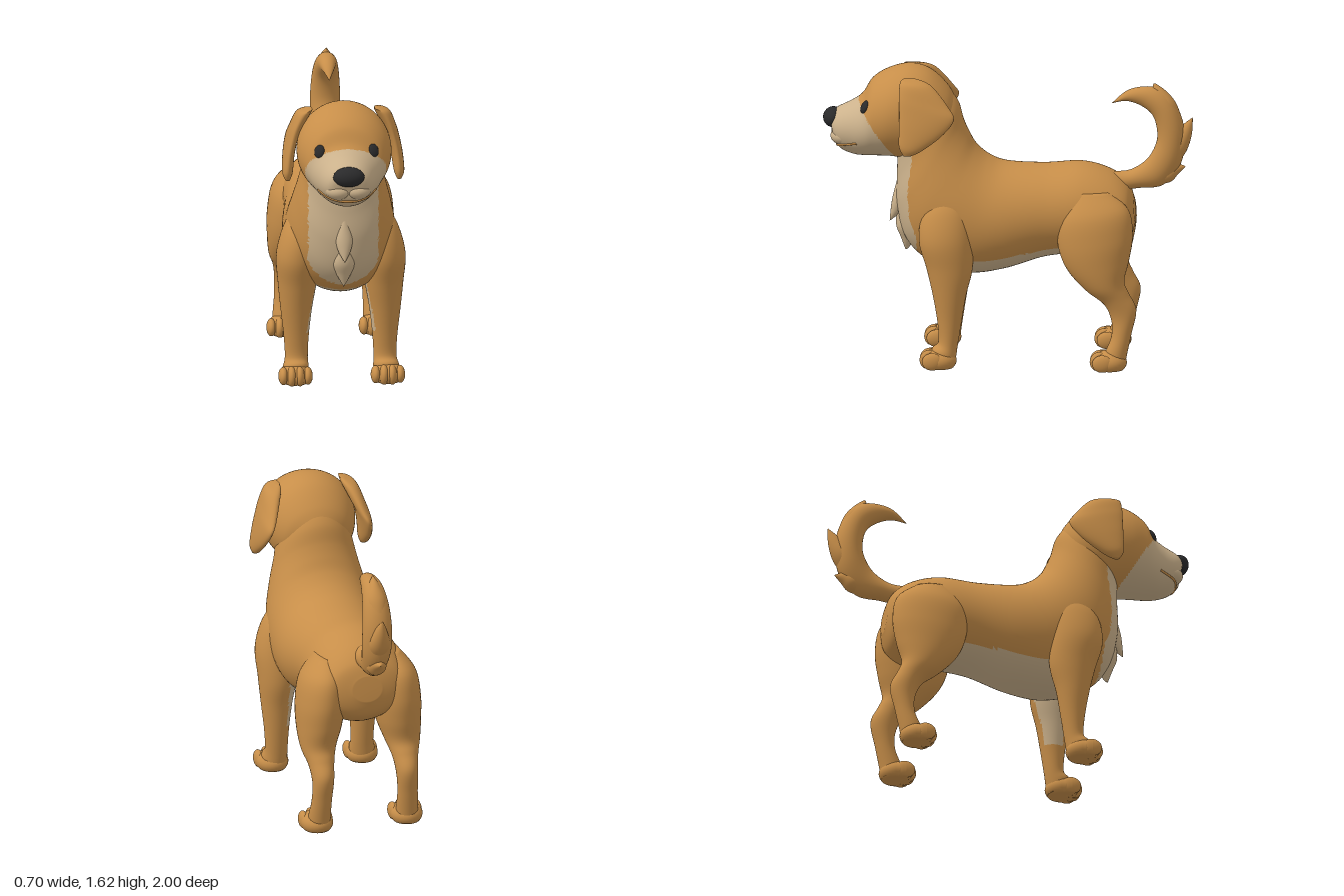
import * as THREE from 'three';

const coat = new THREE.MeshStandardMaterial({ color: 0xc78e49 });
coat.name = 'goldenCoat';
const cream = new THREE.MeshStandardMaterial({ color: 0xccb28c });
cream.name = 'creamFur';
const dark = new THREE.MeshStandardMaterial({ color: 0x2a2a2b });
dark.name = 'darkNose';

// Catmull-Rom interpolation of one column of a section table
function sample(rows, t, k) {
  const n = rows.length - 1, i = Math.min(Math.floor(t), n - 1), f = t - i;
  const v = (j) => rows[Math.max(0, Math.min(n, j))][k] ?? 0;
  const a = v(i - 1), b = v(i), c = v(i + 1), d = v(i + 2);
  return b + 0.5 * f * (c - a + f * (2 * a - 5 * b + 4 * c - d + f * (3 * (b - c) + d - a)));
}

// Smooth elliptical loft. Row: [z1, y1, z2, y2, halfWidth, centreX], where
// (z1, y1) and (z2, y2) are opposite edges of the section in the side plane.
function loft(name, rows, { side = 1, radial = 32, steps = 6, material = coat, isCream = null } = {}) {
  const pos = [], tris = [], rings = (rows.length - 1) * steps;
  for (let r = 0; r <= rings; r++) {
    const [z1, y1, z2, y2, w, cx] = [0, 1, 2, 3, 4, 5].map((k) => sample(rows, r / steps, k));
    for (let j = 0; j < radial; j++) {
      const a = (j / radial) * Math.PI * 2, s = Math.sin(a) / 2;
      pos.push(side * cx + Math.max(w, 0.002) * Math.cos(a), (y1 + y2) / 2 + (y1 - y2) * s, (z1 + z2) / 2 + (z1 - z2) * s);
      if (r < rings) {
        const p = r * radial + j, q = r * radial + ((j + 1) % radial);
        tris.push([p, q, q + radial], [p, q + radial, p + radial]);
      }
    }
  }
  // end caps
  for (const r of [0, rings]) {
    const row = rows[r ? rows.length - 1 : 0], c = pos.length / 3;
    pos.push(side * (row[5] ?? 0), (row[1] + row[3]) / 2, (row[0] + row[2]) / 2);
    for (let j = 0; j < radial; j++) {
      const p = r * radial + j, q = r * radial + ((j + 1) % radial);
      tris.push(r ? [p, q, c] : [q, p, c]);
    }
  }
  // make the surface face outward
  const P = (i) => new THREE.Vector3().fromArray(pos, i * 3);
  let volume = 0;
  for (const [a, b, c] of tris) volume += P(a).dot(P(b).cross(P(c)));
  if (volume < 0) tris.forEach((t) => t.reverse());
  // split coat and cream faces by a position rule
  const split = [[], []];
  for (const t of tris) {
    const m = P(t[0]).add(P(t[1])).add(P(t[2])).divideScalar(3);
    split[isCream && isCream(m.x, m.y, m.z) ? 1 : 0].push(...t);
  }
  const g = new THREE.BufferGeometry();
  g.setAttribute('position', new THREE.Float32BufferAttribute(pos, 3));
  g.setIndex([...split[0], ...split[1]]);
  g.computeVertexNormals();
  if (isCream) {
    g.addGroup(0, split[0].length, 0);
    g.addGroup(split[0].length, split[1].length, 1);
  }
  const mesh = new THREE.Mesh(g, isCream ? [coat, cream] : material);
  mesh.name = name;
  return mesh;
}

// Ellipsoid, flattened where it meets the ground
function blob(name, material, [x, y, z], [rx, ry, rz]) {
  const g = new THREE.SphereGeometry(1, 28, 20).scale(rx, ry, rz).translate(x, y, z);
  const p = g.attributes.position;
  for (let i = 0; i < p.count; i++) p.setY(i, Math.max(0, p.getY(i)));
  g.computeVertexNormals();
  const mesh = new THREE.Mesh(g, material);
  mesh.name = name;
  return mesh;
}

function paw(name, x, z) {
  const group = new THREE.Group();
  group.name = name;
  group.add(blob('pad', coat, [x, 0.04, z], [0.088, 0.065, 0.095]));
  for (let i = 0; i < 4; i++) {
    const o = i - 1.5, inner = Math.abs(o) < 1;
    group.add(blob('toe', coat, [x + o * 0.044, 0.045, z + (inner ? 0.05 : 0.035)], [0.027, inner ? 0.056 : 0.048, 0.055]));
  }
  return group;
}

export function createModel() {
  const dog = new THREE.Group();
  dog.name = 'dog';

  // Body from rump to neck, with a pale bib and belly
  dog.add(loft('body', [
    [-0.68, 0.90, -0.69, 0.76, 0.08],
    [-0.645, 0.98, -0.65, 0.66, 0.20],
    [-0.55, 1.05, -0.53, 0.59, 0.25],
    [-0.40, 1.09, -0.38, 0.59, 0.265],
    [-0.20, 1.078, -0.20, 0.57, 0.27],
    [0.00, 1.085, 0.02, 0.50, 0.295],
    [0.10, 1.12, 0.22, 0.475, 0.30],
    [0.17, 1.18, 0.42, 0.535, 0.295],
    [0.21, 1.25, 0.55, 0.66, 0.275],
    [0.24, 1.32, 0.60, 0.85, 0.245],
    [0.27, 1.42, 0.60, 1.02, 0.215],
    [0.34, 1.50, 0.60, 1.12, 0.20],
    [0.45, 1.55, 0.62, 1.20, 0.17],
  ], {
    radial: 80, steps: 9,
    isCream: (x, y, z) => (z > 0.49 && Math.abs(x) < 0.19 && y < 1.2) || (z > -0.34 && y < 0.61 - 0.17 * z),
  }));

  // Tufts on the chest
  dog.add(loft('upperChestTuft', [[0.60, 0.98, 0.55, 0.98, 0.02], [0.625, 0.88, 0.55, 0.88, 0.045], [0.635, 0.81, 0.57, 0.81, 0.035], [0.64, 0.75, 0.63, 0.755, 0.002]], { material: cream }));
  dog.add(loft('lowerChestTuft', [[0.60, 0.82, 0.52, 0.82, 0.03], [0.605, 0.73, 0.5, 0.73, 0.06], [0.58, 0.66, 0.5, 0.66, 0.04], [0.555, 0.59, 0.54, 0.595, 0.002]], { material: cream }));

  // Head and muzzle
  const head = loft('head', [
    [0.27, 1.40, 0.30, 1.25, 0.08],
    [0.32, 1.50, 0.36, 1.16, 0.18],
    [0.42, 1.595, 0.45, 1.11, 0.235],
    [0.53, 1.625, 0.55, 1.11, 0.255],
    [0.64, 1.60, 0.64, 1.12, 0.25],
    [0.73, 1.545, 0.72, 1.12, 0.218],
    [0.785, 1.46, 0.77, 1.12, 0.188],
    [0.84, 1.42, 0.83, 1.125, 0.158],
    [0.92, 1.38, 0.895, 1.15, 0.125],
    [0.955, 1.35, 0.93, 1.19, 0.09],
    [0.965, 1.31, 0.945, 1.25, 0.03],
  ], {
    radial: 80, steps: 10,
    isCream: (x, y, z) => z > 0.60 + (y - 1.13) * 0.67,
  });
  dog.add(head);

  // Nose and upper lips
  dog.add(blob('nose', dark, [0, 1.325, 0.945], [0.085, 0.054, 0.055]));
  for (const s of [-1, 1]) dog.add(blob('upperLip', cream, [s * 0.05, 1.235, 0.885], [0.075, 0.05, 0.073]));

  // Find surface points on the face for the eyes and the mouth
  head.updateMatrixWorld();
  const ray = new THREE.Raycaster();
  const onFace = (x, y) => {
    ray.set(new THREE.Vector3(x, y, 2), new THREE.Vector3(0, 0, -1));
    return ray.intersectObject(head)[0];
  };
  for (const s of [-1, 1]) {
    const hit = onFace(s * 0.147, 1.42);
    const eye = blob('eye', dark, [0, 1, 0], [0.029, 0.036, 0.016]);
    eye.geometry.translate(0, -1, 0);
    eye.position.copy(hit.point);
    eye.lookAt(hit.point.clone().add(hit.face.normal));
    dog.add(eye);
  }
  const smile = [];
  for (let i = -6; i <= 6; i++) {
    const x = i * 0.026, hit = onFace(x, 1.178 + 1.6 * x * x);
    if (hit) smile.push(hit.point);
  }
  const mouth = new THREE.Mesh(new THREE.TubeGeometry(new THREE.CatmullRomCurve3(smile), 48, 0.006, 8), coat);
  mouth.name = 'mouth';
  dog.add(mouth);
  dog.add(blob('lowerLip', coat, [0, 1.183, 0.9], [0.07, 0.014, 0.032]));

  for (const side of [-1, 1]) {
    const label = side > 0 ? 'left' : 'right';

    // Drooping ear
    dog.add(loft(label + 'Ear', [
      [0.56, 1.588, 0.48, 1.588, 0.012, 0.18],
      [0.575, 1.57, 0.40, 1.555, 0.04, 0.212],
      [0.578, 1.50, 0.31, 1.45, 0.038, 0.25],
      [0.575, 1.42, 0.28, 1.385, 0.034, 0.275],
      [0.575, 1.33, 0.345, 1.30, 0.032, 0.293],
      [0.575, 1.24, 0.45, 1.22, 0.028, 0.302],
      [0.55, 1.19, 0.51, 1.19, 0.012, 0.302],
    ], { side }));

    // Front leg with a pale inner patch
    dog.add(loft(label + 'FrontLeg', [
      [0.36, 0.98, 0.26, 0.98, 0.04, 0.20],
      [0.45, 0.85, 0.20, 0.88, 0.09, 0.22],
      [0.47, 0.70, 0.18, 0.72, 0.115, 0.235],
      [0.43, 0.55, 0.18, 0.55, 0.105, 0.235],
      [0.395, 0.40, 0.215, 0.40, 0.085, 0.24],
      [0.37, 0.25, 0.24, 0.25, 0.068, 0.24],
      [0.365, 0.14, 0.26, 0.12, 0.062, 0.24],
      [0.40, 0.10, 0.27, 0.05, 0.07, 0.245],
      [0.39, 0.02, 0.28, 0.004, 0.06, 0.245],
    ], { side, radial: 40, isCream: (x, y, z) => Math.abs(x) < 0.195 && y > 0.28 && y < 0.58 && z < 0.35 }));
    dog.add(paw(label + 'FrontPaw', side * 0.25, 0.36));

    // Hind leg with thigh and hock
    dog.add(loft(label + 'HindLeg', [
      [-0.36, 0.97, -0.55, 0.97, 0.05, 0.18],
      [-0.28, 0.83, -0.66, 0.88, 0.115, 0.20],
      [-0.28, 0.68, -0.685, 0.74, 0.13, 0.212],
      [-0.33, 0.55, -0.665, 0.60, 0.12, 0.222],
      [-0.43, 0.44, -0.64, 0.49, 0.095, 0.235],
      [-0.53, 0.36, -0.665, 0.42, 0.07, 0.235],
      [-0.57, 0.27, -0.705, 0.33, 0.058, 0.235],
      [-0.57, 0.18, -0.68, 0.20, 0.055, 0.24],
      [-0.54, 0.10, -0.655, 0.08, 0.06, 0.245],
      [-0.52, 0.02, -0.64, 0.004, 0.06, 0.245],
    ], { side, radial: 40 }));
    dog.add(paw(label + 'HindPaw', side * 0.25, -0.56));
  }

  // Curled tail with three pointed tufts
  dog.add(loft('tail', [
    [-0.56, 1.04, -0.60, 0.93, 0.05],
    [-0.66, 1.05, -0.70, 0.95, 0.055],
    [-0.75, 1.11, -0.84, 0.97, 0.065],
    [-0.80, 1.20, -0.935, 1.09, 0.08],
    [-0.805, 1.28, -0.955, 1.27, 0.08],
    [-0.78, 1.36, -0.90, 1.43, 0.07],
    [-0.72, 1.41, -0.80, 1.51, 0.055],
    [-0.64, 1.435, -0.66, 1.50, 0.035],
    [-0.56, 1.42, -0.565, 1.425, 0.003],
  ]));
  dog.add(loft('lowerTailTuft', [[-0.76, 1.06, -0.78, 0.97, 0.04], [-0.85, 1.09, -0.875, 0.985, 0.055], [-0.91, 1.09, -0.92, 1.03, 0.035], [-0.955, 1.075, -0.96, 1.07, 0.003]]));
  dog.add(loft('middleTailTuft', [[-0.86, 1.12, -0.91, 1.08, 0.04], [-0.87, 1.21, -0.965, 1.16, 0.06], [-0.93, 1.29, -0.993, 1.25, 0.035], [-0.995, 1.345, -0.999, 1.34, 0.003]]));
  dog.add(loft('upperTailTuft', [[-0.84, 1.33, -0.94, 1.34, 0.05], [-0.8, 1.42, -0.905, 1.43, 0.055], [-0.78, 1.48, -0.85, 1.495, 0.03], [-0.785, 1.53, -0.795, 1.535, 0.003]]));

  return dog;
}
